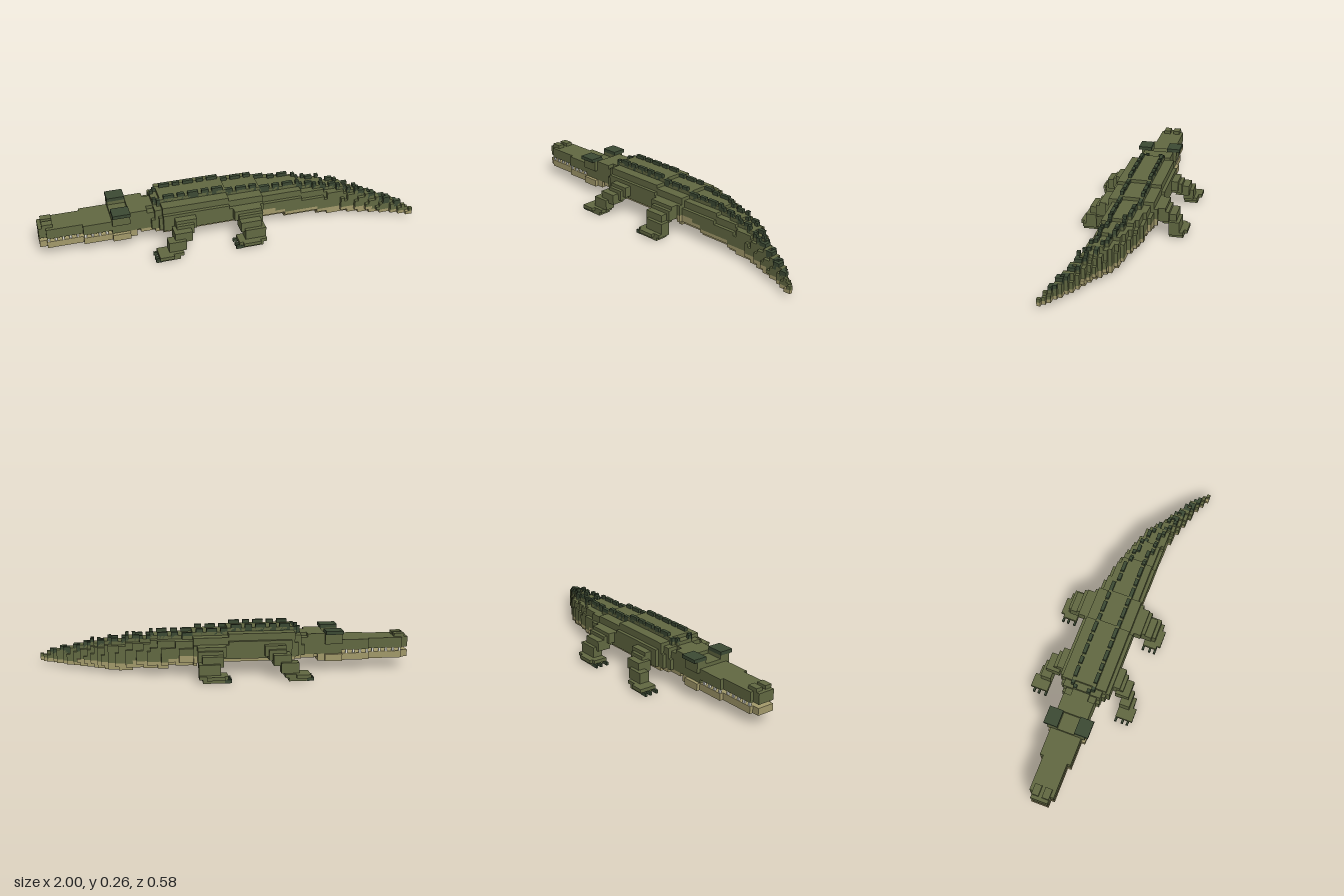
import * as THREE from 'three';
import { mergeGeometries } from 'three/addons/utils/BufferGeometryUtils.js';

const V = 2 / 107; // one voxel

const mat = (name, hex) => {
  const m = new THREE.MeshStandardMaterial({ color: hex });
  m.name = name;
  return m;
};

// Box over voxel ranges, both ends included; z is counted from the centre line.
function block(x0, x1, y0, y1, z0, z1) {
  const g = new THREE.BoxGeometry((x1 - x0 + 1) * V, (y1 - y0 + 1) * V, (z1 - z0 + 1) * V);
  return g.translate(-1 + (x0 + x1 + 1) * V / 2, (y0 + y1 + 1) * V / 2, (z0 + z1) * V / 2);
}

// Same box on both sides of the body.
const pair = (x0, x1, y0, y1, z0, z1) => [
  block(x0, x1, y0, y1, z0, z1),
  block(x0, x1, y0, y1, -z1, -z0),
];

// Body stations: column, centre z, half width, top row
const STATIONS = [
  [27, 0, 4, 10], [31, 0, 4.6, 10], [33, 0, 6, 11], [35, 0, 7, 12], [51, 0, 7, 12],
  [53, 0, 7, 11], [61, 0, 7, 11], [64, 0, 5.8, 10], [70, 0.4, 5.4, 10], [75, 1, 4.6, 9.4],
  [80, 1.9, 4, 8.6], [86, 3.1, 3.2, 8], [91, 5.6, 2.1, 6.6], [96, 7.6, 1.7, 5],
  [101, 9.9, 0.9, 3.6], [106, 13, 0, 2],
];

function station(i) {
  let n = 0;
  while (n < STATIONS.length - 2 && STATIONS[n + 1][0] <= i) n++;
  const a = STATIONS[n], b = STATIONS[n + 1];
  const t = (i - a[0]) / (b[0] - a[0]);
  const [c, w, top] = [1, 2, 3].map((k) => a[k] + (b[k] - a[k]) * t);
  const bottom = i < 62 ? 4 : i < 70 ? 3 : i < 80 ? 2 : 1;
  const pale = i < 62 ? 1 : i < 67 ? 3 : i < 96 ? 2 : 1; // pale rows
  return { c, w, top: Math.round(top), bottom, pale };
}

export function createModel() {
  const green = mat('olive green', 0x626942);
  const dark = mat('dark green', 0x3c4a34);
  const tan = mat('pale tan', 0xa39a6b);
  const white = mat('tooth white', 0xdcdcd2);

  const model = new THREE.Group();
  model.name = 'crocodile';
  const add = (name, material, boxes) => {
    const mesh = new THREE.Mesh(mergeGeometries(boxes), material);
    mesh.name = name;
    model.add(mesh);
  };

  // Trunk and curved tail, one slice per column
  const back = [], belly = [], ridge = [];
  for (let i = 27; i <= 106; i++) {
    const { c, w, top, bottom, pale } = station(i);
    for (let j = bottom; j <= top; j++) {
      const d = top - j;
      let h = w;
      if (d === 0) h = w * 0.45;
      else if (d <= 2) h = w * 0.85;
      if (j === bottom) h = w * 0.85;
      const slice = block(i, i, j, j, Math.round(c - h), Math.round(c + h));
      (j < bottom + pale ? belly : back).push(slice);
    }
    // Two rows of back scutes
    if (i >= 31 && i < 105 && (i * 2) % 7 < 5) {
      const s = Math.min(3, w * 0.45);
      for (const z of new Set([Math.round(c - s), Math.round(c + s)])) {
        ridge.push(block(i, i, top, top + 1, z, z));
      }
    }
  }
  add('back', green, back);
  add('belly', tan, belly);
  add('backScutes', dark, ridge);

  // Head: snout, nostrils, skull and eye stalks
  add('head', green, [
    block(0, 1, 6, 8, -2, 2),
    block(2, 11, 6, 8, -3, 3),
    block(12, 19, 6, 8, -4, 4),
    block(20, 24, 5, 9, -4, 4),
    block(25, 29, 5, 10, -4, 4),
    ...pair(1, 3, 9, 9, 1, 2),
    ...pair(20, 24, 8, 10, 3, 5),
  ]);
  add('eyeRidges', dark, pair(20, 24, 11, 11, 3, 6));
  add('lowerJaw', tan, [
    block(0, 1, 3, 4, -2, 2),
    block(2, 11, 3, 4, -3, 3),
    block(12, 19, 3, 4, -4, 4),
    block(20, 24, 3, 4, -5, 5),
    block(25, 26, 3, 4, -4, 4),
  ]);

  // Teeth along both edges of the mouth
  const teeth = [];
  for (let i = 2; i < 20; i += 2) {
    const edge = i < 12 ? 3.1 : 4.1;
    for (const side of [-1, 1]) {
      const g = new THREE.BoxGeometry(V * 0.6, V, V * 0.6);
      teeth.push(g.translate(-1 + (i + 0.5) * V, 5.5 * V, side * edge * V));
    }
  }
  add('teeth', white, teeth);

  // Legs step outward and down to flat feet
  add('frontLegs', green, [
    ...pair(37, 42, 6, 8, 7, 9),
    ...pair(37, 41, 5, 7, 8, 10),
    ...pair(36, 40, 4, 6, 9, 12),
    ...pair(34, 38, 2, 4, 11, 13),
    ...pair(31, 37, 1, 1, 11, 14),
    ...pair(31, 34, 1, 1, 15, 15),
    ...pair(32, 36, 0, 0, 11, 14),
  ]);
  add('hindLegs', green, [
    ...pair(54, 61, 6, 8, 7, 9),
    ...pair(55, 61, 5, 7, 8, 10),
    ...pair(55, 60, 4, 6, 9, 12),
    ...pair(56, 61, 2, 4, 11, 13),
    ...pair(54, 61, 1, 1, 11, 14),
    ...pair(55, 59, 1, 1, 15, 15),
    ...pair(55, 60, 0, 0, 11, 14),
  ]);

  // Claws in front of each foot
  const claws = [];
  for (const [x, n] of [[30, 2], [53, 2]]) {
    for (const z of [11, 13, 14.5]) {
      claws.push(...pair(x, x + n - 1, 0, 0, z, z - 0.4));
    }
  }
  add('claws', dark, claws);

  return model;
}
